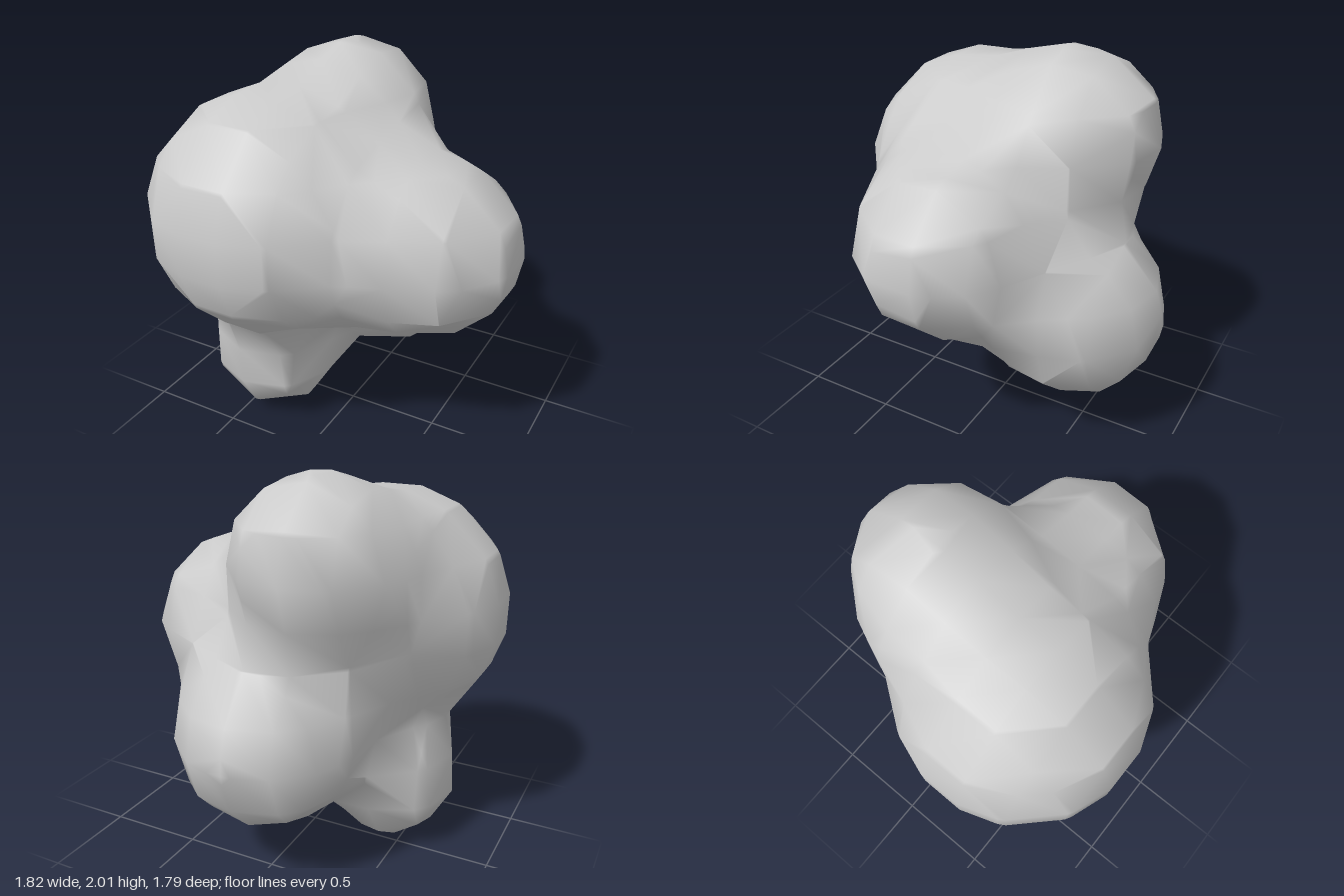
import * as THREE from 'three';

// Merging balls: centre x, y, z and visible radius
const BALLS = [
  [-0.30, 1.26, 0.29, 0.622], // large front ball
  [-0.16, 1.60, -0.33, 0.41], // top back ball
  [0.47, 1.15, 0.055, 0.45],  // left ball
  [0.04, 0.735, -0.43, 0.47], // low back ball
  [-0.40, 0.345, 0.15, 0.345] // foot ball
].map(([x, y, z, r]) => ({ centre: new THREE.Vector3(x, y, z), reach: r / 0.575 }));

// Lattice the skin is built on
const STEP = 0.215;
const ORIGIN = new THREE.Vector3(0.02, 0.07, -0.035);
const MIN = [-6, -2, -6];
const MAX = [6, 11, 6];

// Soft falloff with a finite reach; positive inside the skin
function field(p) {
  let sum = 0;
  for (const { centre, reach } of BALLS) {
    const k = 1 - p.distanceToSquared(centre) / (reach * reach);
    if (k > 0) sum += k * k * k;
  }
  return sum - 0.3;
}

const latticePoint = (c) => new THREE.Vector3(...c).multiplyScalar(STEP).add(ORIGIN);

// Point where the skin crosses a lattice edge
function crossing(insideCorner, outsideCorner) {
  const a = latticePoint(insideCorner);
  const b = latticePoint(outsideCorner);
  const mid = new THREE.Vector3();
  for (let i = 0; i < 20; i++) {
    mid.lerpVectors(a, b, 0.5);
    (field(mid) > 0 ? a : b).copy(mid);
  }
  return mid;
}

// Corners of one cell face, anticlockwise from outside the cell
function faceCorners(cell, axis, side) {
  const u = (axis + 1) % 3, v = (axis + 2) % 3;
  const corners = [[0, 0], [1, 0], [1, 1], [0, 1]].map(([du, dv]) => {
    const c = [...cell];
    c[axis] += side;
    c[u] += du;
    c[v] += dv;
    return c;
  });
  return side ? corners : corners.reverse();
}

function skinGeometry() {
  const positions = [], indices = [];
  const vertexOnEdge = new Map(), insideCache = new Map();

  const isInside = (c) => {
    const key = c.join();
    if (!insideCache.has(key)) insideCache.set(key, field(latticePoint(c)) > 0);
    return insideCache.get(key);
  };
  const vertex = (insideCorner, outsideCorner) => {
    const key = insideCorner.join() + '|' + outsideCorner.join();
    if (!vertexOnEdge.has(key)) {
      vertexOnEdge.set(key, positions.length / 3);
      positions.push(...crossing(insideCorner, outsideCorner).toArray());
    }
    return vertexOnEdge.get(key);
  };

  // Join the crossings on the six faces of a cell into loops and fill them
  const fillCell = (cell) => {
    const next = new Map();
    for (let f = 0; f < 6; f++) {
      const corners = faceCorners(cell, f >> 1, f & 1);
      const inside = corners.map(isInside);
      for (let i = 0; i < 4; i++) {
        if (inside[i] || !inside[(i + 1) % 4]) continue;
        let j = (i + 1) % 4;
        while (inside[(j + 1) % 4]) j = (j + 1) % 4;
        next.set(vertex(corners[(i + 1) % 4], corners[i]), vertex(corners[j], corners[(j + 1) % 4]));
      }
    }
    while (next.size) {
      const loop = [];
      let v = next.keys().next().value;
      while (next.has(v)) {
        loop.push(v);
        const following = next.get(v);
        next.delete(v);
        v = following;
      }
      for (let i = 1; i < loop.length - 1; i++) indices.push(loop[0], loop[i], loop[i + 1]);
    }
  };

  for (let x = MIN[0]; x < MAX[0]; x++)
    for (let y = MIN[1]; y < MAX[1]; y++)
      for (let z = MIN[2]; z < MAX[2]; z++) fillCell([x, y, z]);

  const geometry = new THREE.BufferGeometry();
  geometry.setAttribute('position', new THREE.Float32BufferAttribute(positions, 3));
  geometry.setIndex(indices);
  geometry.computeVertexNormals();
  return geometry;
}

export function createModel() {
  const group = new THREE.Group();
  group.name = 'blob';
  const body = new THREE.Mesh(skinGeometry(), new THREE.MeshStandardMaterial({ color: 0xcccccc }));
  body.name = 'blobBody';
  group.add(body);
  return group;
}
